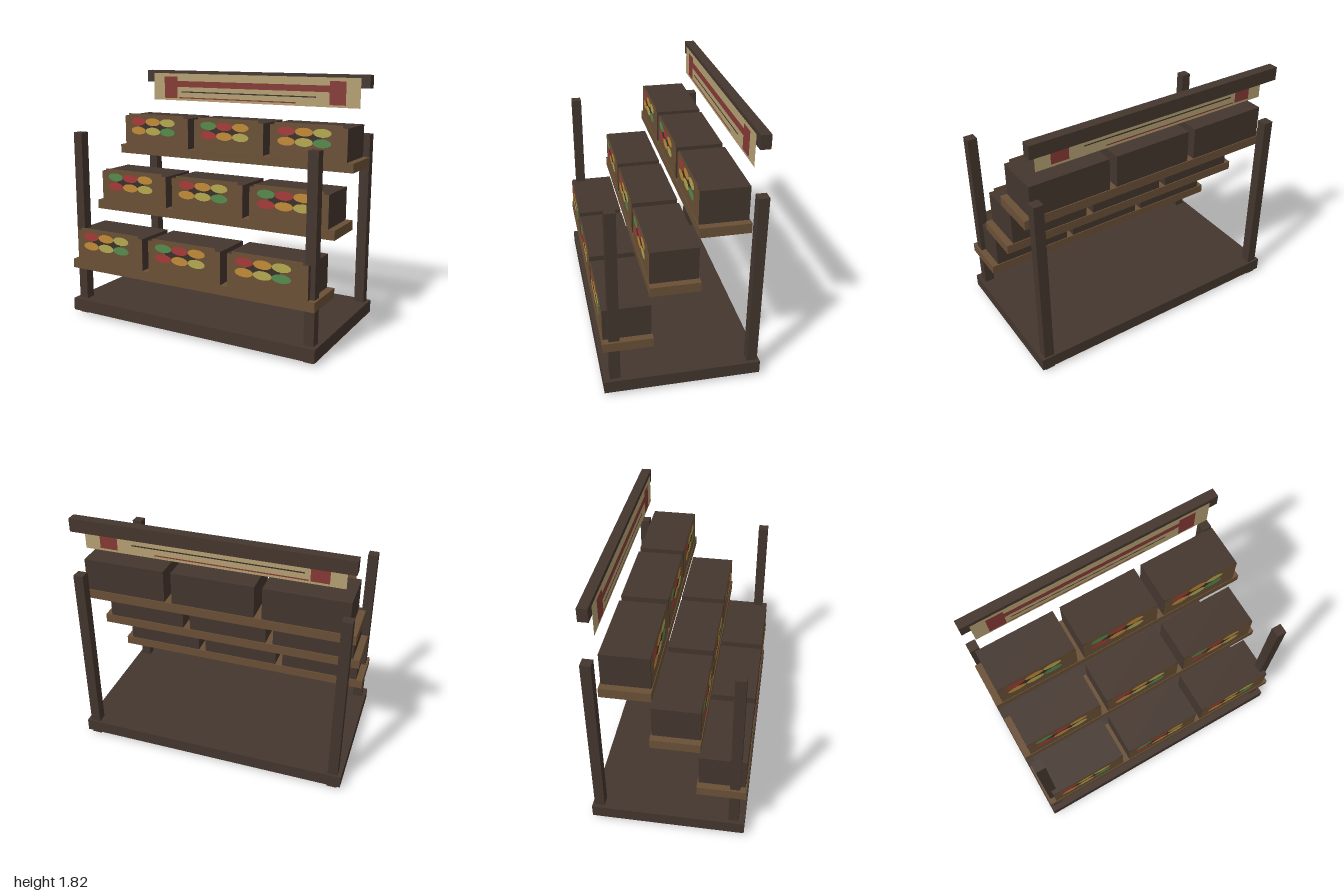
import * as THREE from 'three';

const mat = (name, color, side = THREE.FrontSide) => {
  const m = new THREE.MeshStandardMaterial({ color, side });
  m.name = name;
  return m;
};

export function createModel() {
  const D = THREE.DoubleSide;
  const darkWood = mat('dark wood', 0x44362e);
  const plank = mat('plank brown', 0x6a5036, D);
  const cream = mat('sign cream', 0xb4a072, D);
  const signRed = mat('sign red', 0x863a35, D);
  const ink = mat('dark ink', 0x3c302a, D);
  const produce = [
    mat('red produce', 0xa63a38, D),
    mat('orange produce', 0xc28a36, D),
    mat('yellow produce', 0xb4a850, D),
    mat('green produce', 0x568a4c, D),
  ];

  const root = new THREE.Group();
  root.name = 'marketStall';

  const add = (parent, name, geometry, material, x = 0, y = 0, z = 0) => {
    const mesh = new THREE.Mesh(geometry, material);
    mesh.name = name;
    mesh.position.set(x, y, z);
    parent.add(mesh);
    return mesh;
  };
  // box given by its limits
  const box = (parent, name, material, x0, x1, y0, y1, z0, z1) =>
    add(parent, name, new THREE.BoxGeometry(x1 - x0, y1 - y0, z1 - z0), material,
      (x0 + x1) / 2, (y0 + y1) / 2, (z0 + z1) / 2);
  // flat painted rectangle facing the front
  const plate = (parent, name, material, x0, x1, y0, y1, z) =>
    add(parent, name, new THREE.PlaneGeometry(x1 - x0, y1 - y0), material,
      (x0 + x1) / 2, (y0 + y1) / 2, z);

  // base and corner posts
  box(root, 'base', darkWood, -1, 1, 0.025, 0.118, -0.545, 0.545);
  for (const s of [-1, 1]) {
    const x = s * 0.937;
    box(root, 'frontPost', darkWood, x - 0.036, x + 0.036, 0, 1.397, 0.43, 0.502);
    box(root, 'backPost', darkWood, x - 0.036, x + 0.036, 0, 1.397, -0.53, -0.458);
  }

  // crate front board with a slightly raised top edge
  const W = 0.295, H = 0.235, N = 0.258, T = 0.255;
  const frontShape = new THREE.Shape([
    [-W, 0], [W, 0], [W, H], [N, H], [N, T], [-N, T], [-N, H], [-W, H],
  ].map(([x, y]) => new THREE.Vector2(x, y)));
  const frontGeo = new THREE.ShapeGeometry(frontShape);
  const fruitGeo = new THREE.CircleGeometry(1, 20).scale(0.069, 0.031, 1);

  const makeCrate = (start) => {
    const crate = new THREE.Group();
    crate.name = 'crate';
    box(crate, 'crateBody', darkWood, -W, W, 0, H, -0.325, 0);
    add(crate, 'crateFront', frontGeo, plank, 0, 0, 0.003);
    plate(crate, 'crateOpening', ink, -0.15, 0.1, 0.125, 0.19, 0.005);
    for (let row = 0; row < 2; row++) {
      for (let col = 0; col < 3; col++) {
        add(crate, 'produce', fruitGeo, produce[(start + row + col) % 4],
          -0.165 + col * 0.137, 0.194 - row * 0.073, 0.007 + row * 0.0005);
      }
    }
    return crate;
  };

  // three stepped shelves, each with three crates
  for (let tier = 0; tier < 3; tier++) {
    const y = 0.434 + tier * 0.402;
    const z = 0.536 - tier * 0.313;
    box(root, 'shelf', plank, -0.989, 0.989, y - 0.068, y, z - 0.332, z + 0.007);
    for (let i = 0; i < 3; i++) {
      const crate = makeCrate((tier + i) % 2 ? 3 : 0);
      crate.position.set((i - 1) * 0.645, y, z);
      root.add(crate);
    }
  }

  // sign hanging from the top beam
  const sign = new THREE.Group();
  sign.name = 'sign';
  root.add(sign);
  box(sign, 'beam', darkWood, -0.965, 0.965, 1.725, 1.82, -0.513, -0.443);
  plate(sign, 'signBoard', cream, -0.898, 0.898, 1.58, 1.798, -0.438);
  // painted pattern, on both faces
  for (const z of [-0.436, -0.44]) {
    plate(sign, 'signBlockRight', signRed, -0.793, -0.668, 1.597, 1.772, z);
    plate(sign, 'signBlockLeft', signRed, 0.66, 0.788, 1.597, 1.772, z);
    plate(sign, 'signBand', signRed, -0.668, 0.66, 1.69, 1.738, z);
    plate(sign, 'signThinLine', ink, -0.63, 0.555, 1.646, 1.655, z);
    plate(sign, 'signLowerLine', signRed, -0.655, 0.39, 1.598, 1.607, z);
  }
  return root;
}
